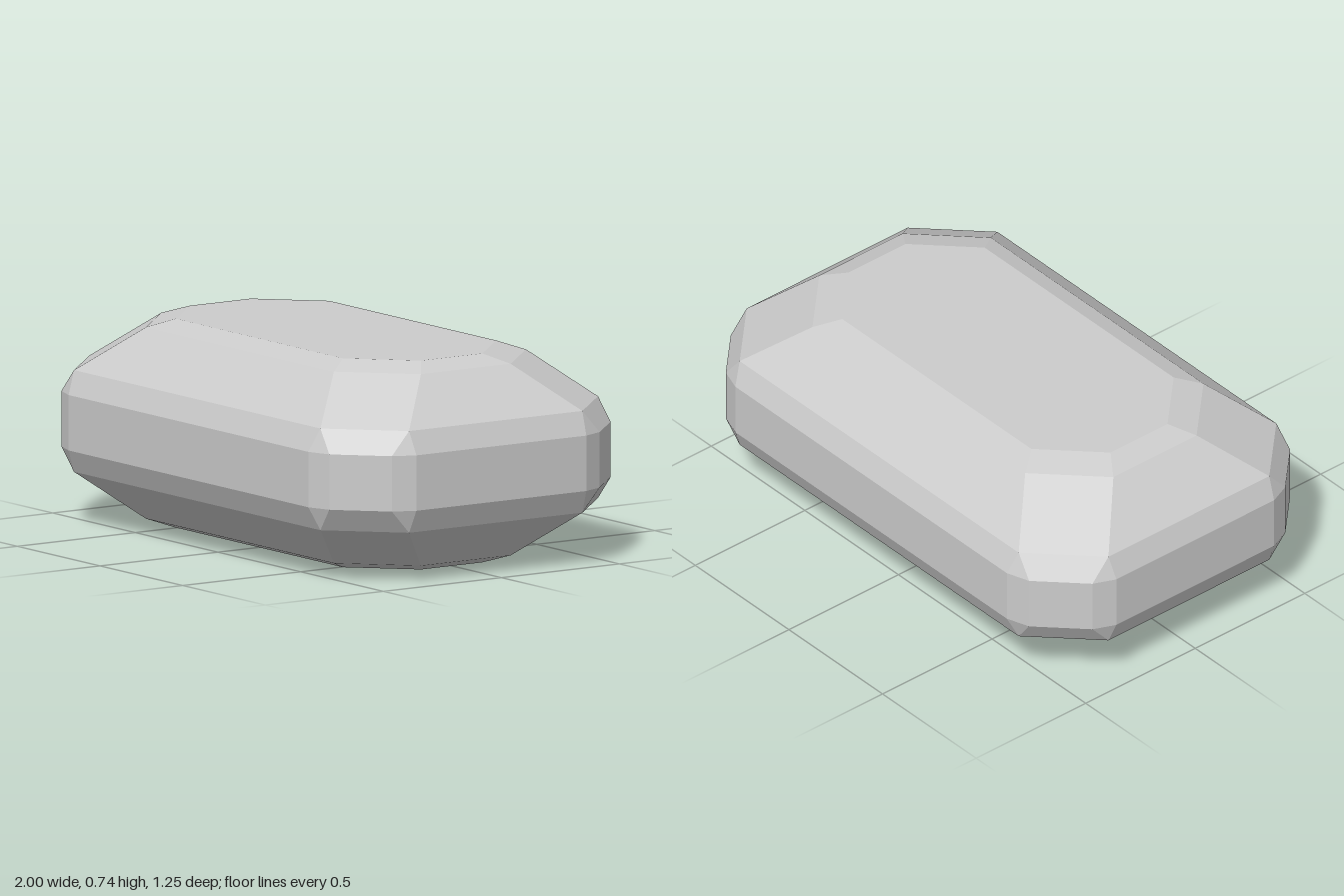
import * as THREE from 'three';
import { ConvexGeometry } from 'three/addons/geometries/ConvexGeometry.js';

const HALF_HEIGHT = 0.3675;

// Horizontal rings of one quadrant: height above the middle, then [x, z] corners
const rings = [
  { h: 0.0975, corners: [[1, 0.36], [0.966, 0.44], [0.81, 0.596], [0.725, 0.625]] }, // girdle
  { h: 0.179, corners: [[0.966, 0.367], [0.745, 0.588]] },                           // shoulder
  { h: 0.337, corners: [[0.785, 0.19], [0.568, 0.407]] },                            // slope top
  { h: HALF_HEIGHT, corners: [[0.7, 0.13], [0.505, 0.325]] },                        // flat cap
];

export function createModel() {
  const group = new THREE.Group();
  group.name = 'facetedStone';

  // Mirror every corner to all eight octants and wrap flat facets around them
  const points = [];
  for (const { h, corners } of rings)
    for (const [x, z] of corners)
      for (const sx of [1, -1])
        for (const sy of [1, -1])
          for (const sz of [1, -1])
            points.push(new THREE.Vector3(sx * x, HALF_HEIGHT + sy * h, sz * z));

  const stone = new THREE.Mesh(
    new ConvexGeometry(points),
    new THREE.MeshStandardMaterial({ color: 0xcccccc, flatShading: true })
  );
  stone.name = 'stoneBody';
  group.add(stone);
  return group;
}
